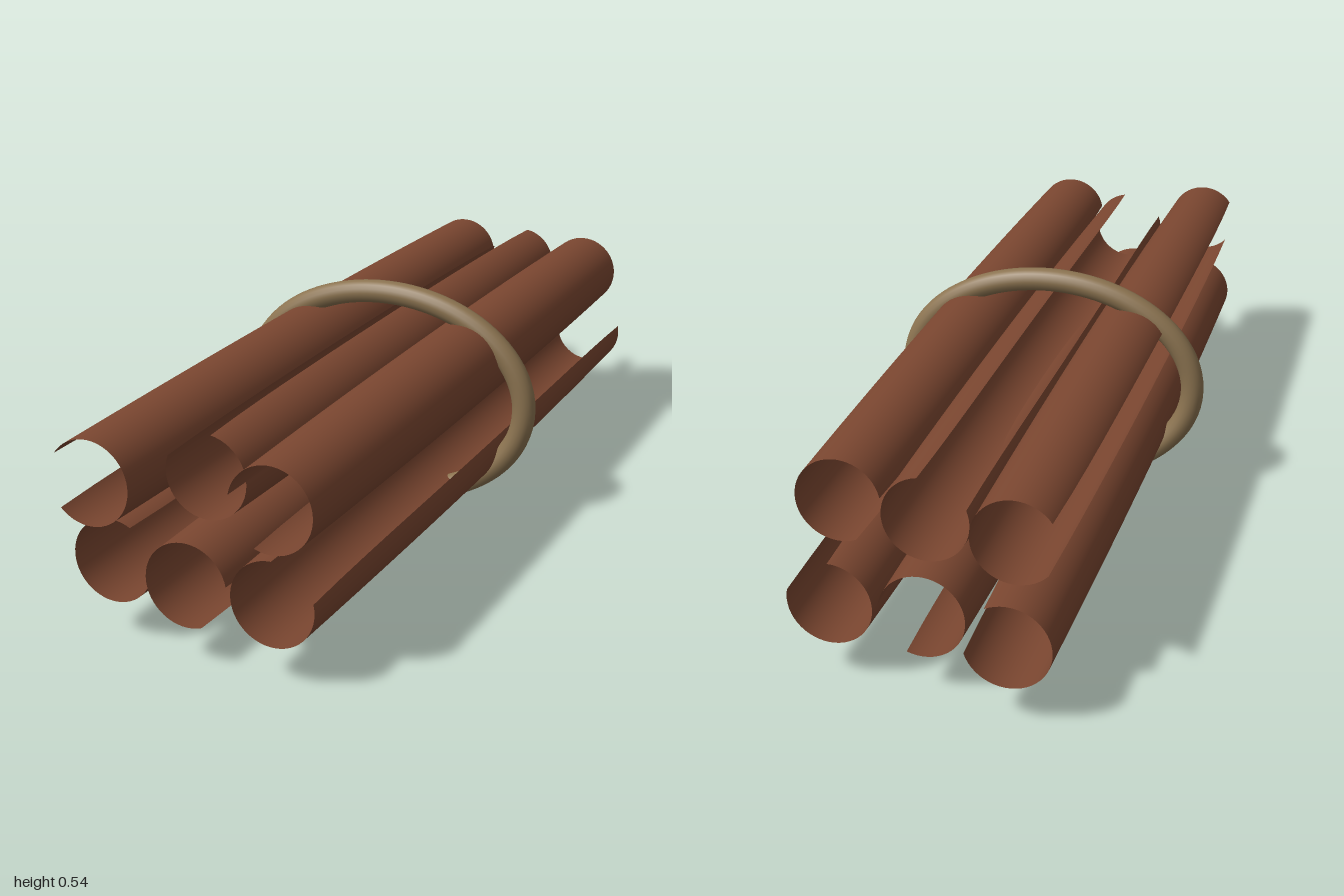
import * as THREE from 'three';
import { ParametricGeometry } from 'three/addons/geometries/ParametricGeometry.js';

const bark = new THREE.MeshStandardMaterial({ color: 0x7a4630, side: THREE.DoubleSide });
bark.name = 'brown bark';
const twine = new THREE.MeshStandardMaterial({ color: 0x8b7350 });
twine.name = 'tan twine';

// Open bark roll: a thin sheet curled around z, slimmer toward both ends,
// with a lengthwise slit centred on gapAngle (degrees, counter-clockwise from +x)
function barkRoll(gapAngle, zBack, zFront) {
  const point = (u, v, target) => {
    const t = 2 * v - 1;
    const radius = 0.0975 - 0.008 * t * t;
    const halfGap = THREE.MathUtils.degToRad(35 + 4 * t ** 6);
    const start = THREE.MathUtils.degToRad(gapAngle) + halfGap;
    const angle = start + u * (2 * Math.PI - 2 * halfGap);
    target.set(radius * Math.cos(angle), radius * Math.sin(angle),
      THREE.MathUtils.lerp(zBack, zFront, v));
  };
  return new ParametricGeometry(point, 40, 16);
}

export function createModel() {
  const model = new THREE.Group();
  model.name = 'bundle';

  // Two rows of three rolls: name, x, y, gap angle, back z, front z
  const rolls = [
    ['topRightRoll', -0.19, 0.367, 184, -0.94, 1.0],
    ['topMiddleRoll', 0, 0.367, 120, -0.9, 0.88],
    ['topLeftRoll', 0.19, 0.367, 208, -0.87, 0.975],
    ['bottomRightRoll', -0.19, 0.175, 22, -1.0, 0.93],
    ['bottomMiddleRoll', 0, 0.175, -30, -0.94, 0.97],
    ['bottomLeftRoll', 0.19, 0.175, 51, -0.94, 0.975],
  ];
  for (const [name, x, y, gap, zBack, zFront] of rolls) {
    const roll = new THREE.Mesh(barkRoll(gap, zBack, zFront), bark);
    roll.name = name;
    roll.position.set(x, y, 0);
    model.add(roll);
  }

  // Oval tie around the middle, round in section
  const ovalPoints = [];
  for (let i = 0; i < 48; i++) {
    const a = (i / 48) * Math.PI * 2;
    ovalPoints.push(new THREE.Vector3(0.345 * Math.cos(a), 0.244 * Math.sin(a), 0));
  }
  const oval = new THREE.CatmullRomCurve3(ovalPoints, true);
  const tie = new THREE.Mesh(new THREE.TubeGeometry(oval, 96, 0.027, 16, true), twine);
  tie.name = 'tie';
  tie.position.set(0, 0.271, 0.028);
  model.add(tie);

  return model;
}
